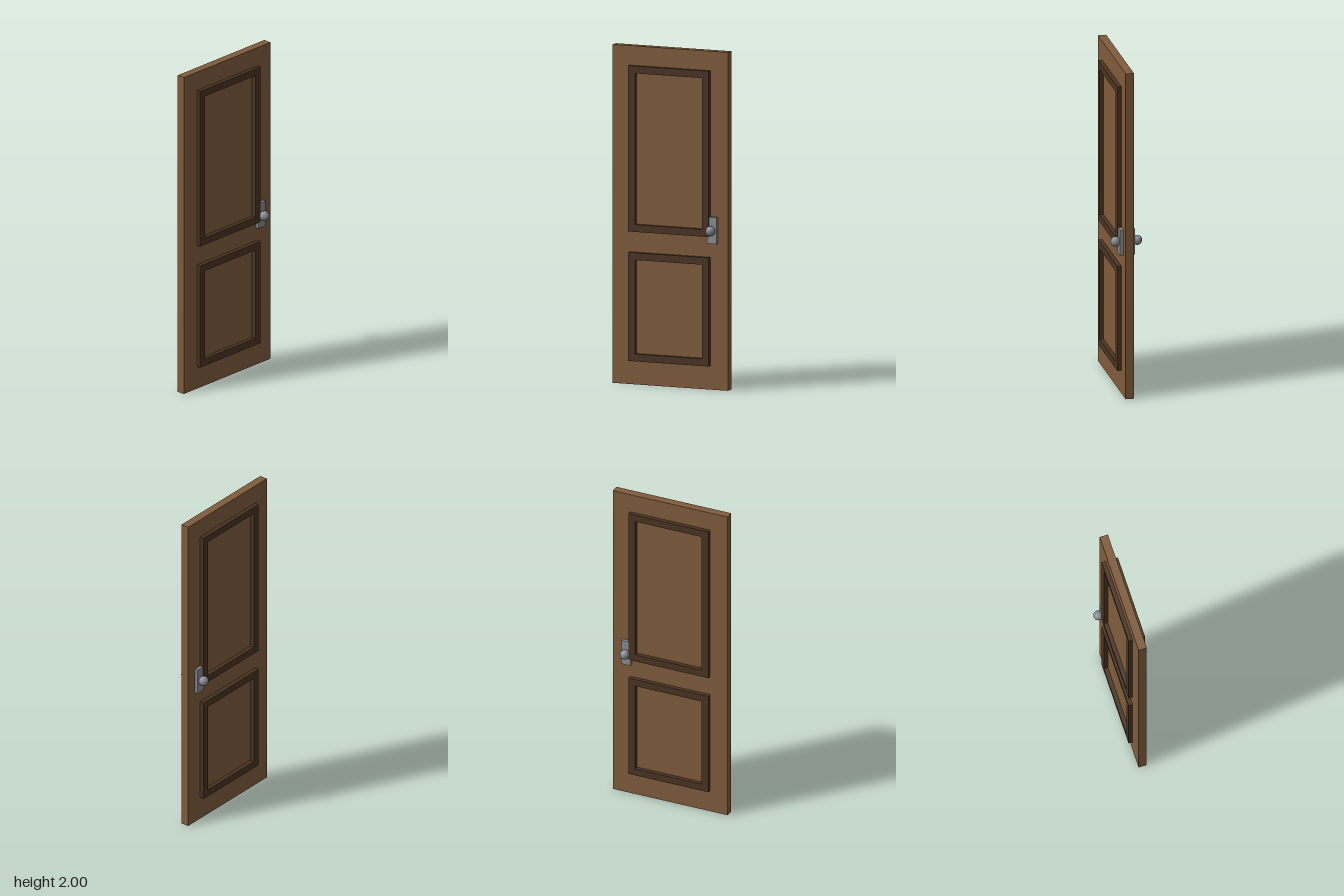
import * as THREE from 'three';

const material = (name, color) => {
  const m = new THREE.MeshStandardMaterial({ color });
  m.name = name;
  return m;
};

// Rectangle outline from its corners
function rect(Type, x0, y0, x1, y1) {
  return new Type([[x0, y0], [x1, y0], [x1, y1], [x0, y1]].map(([x, y]) => new THREE.Vector2(x, y)));
}

export function createModel() {
  const wood = material('brown wood', 0x805c3c);
  const darkWood = material('dark wood', 0x4a3422);
  const metal = material('grey metal', 0x8a8d93);

  const door = new THREE.Group();
  door.name = 'door';

  const add = (name, geometry, mat, x, y, z) => {
    const mesh = new THREE.Mesh(geometry, mat);
    mesh.name = name;
    mesh.position.set(x, y, z);
    door.add(mesh);
  };

  // Slab
  add('slab', new THREE.BoxGeometry(0.74, 2, 0.05), wood, 0, 1, 0);

  // Moulding frames: outer edge bottom and top, on both faces
  const frames = { upper: [0.905, 1.885], lower: [0.14, 0.782] };
  const border = 0.043;
  const depth = 0.025;

  for (const [side, s] of [['Front', 1], ['Back', -1]]) {
    for (const [level, [bottom, top]] of Object.entries(frames)) {
      const shape = rect(THREE.Shape, -0.258, bottom, 0.257, top);
      shape.holes.push(rect(THREE.Path, -0.258 + border, bottom + border, 0.257 - border, top - border));
      const geometry = new THREE.ExtrudeGeometry(shape, { depth, bevelEnabled: false });
      add(`${level}Frame${side}`, geometry, darkWood, 0, 0, s > 0 ? 0.025 : -0.025 - depth);
    }

    // Lock plate and round knob
    add(`lockPlate${side}`, new THREE.BoxGeometry(0.06, 0.157, 0.02), metal, 0.276, 0.943, s * 0.035);
    add(`knob${side}`, new THREE.SphereGeometry(0.03, 8, 8), metal, 0.275, 0.943, s * 0.065);
  }

  return door;
}
